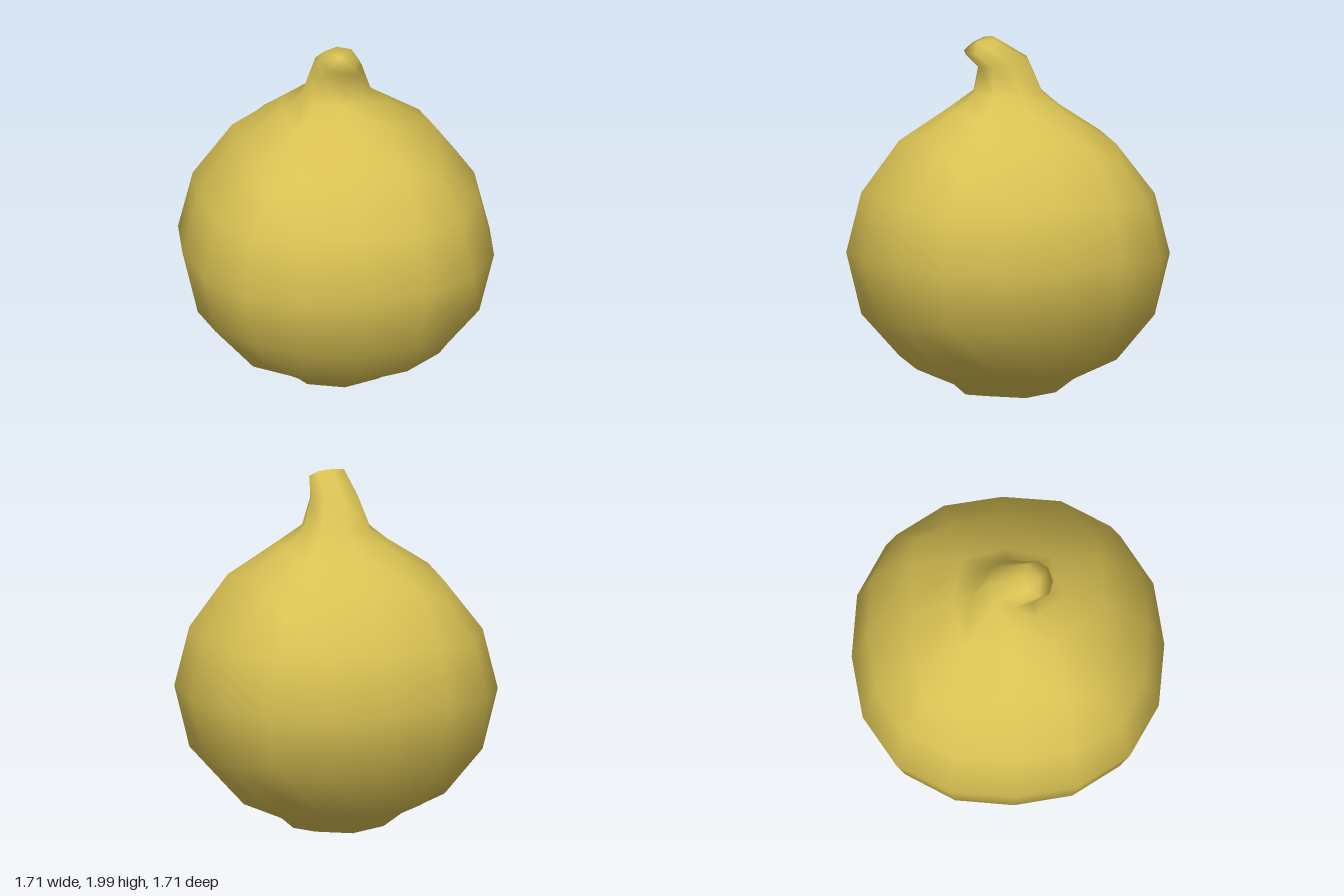
import * as THREE from 'three';
import { mergeVertices } from 'three/addons/utils/BufferGeometryUtils.js';

// Rounded-square ring of 16 points. Each quarter holds a side middle, a corner and two points between.
function squareRing([m, my], [e, f, ey], [c, cy]) {
  const quarter = [[m, 0, my], [e, f, ey], [c, c, cy], [f, e, ey]];
  const ring = [];
  for (let q = 0; q < 4; q++) {
    for (const [a, b, y] of quarter) {
      const [x, z] = [[a, b], [-b, a], [-a, -b], [b, -a]][q];
      ring.push(new THREE.Vector3(x, y, z));
    }
  }
  return ring;
}

// Eight-sided ring: the between points collapse onto the corners.
const octRing = (mid, corner) => squareRing(mid, [corner[0], corner[0], corner[1]], corner);

// Eight-sided stem ring, shifted and tilted forward.
function stemRing(cx, y, cz, rx, rz, tilt) {
  return octRing([1, 0], [0.73, 0]).map(
    (p) => new THREE.Vector3(cx + p.x * rx, y + p.z * rz * tilt, cz + p.z * rz));
}

// Skin a stack of rings, bottom to top, into one smooth surface.
function skin(rings) {
  const n = rings[0].length;
  const index = [];
  for (let r = 0; r < rings.length - 1; r++) {
    for (let i = 0; i < n; i++) {
      const j = (i + 1) % n;
      const a = r * n + i, b = r * n + j, c = a + n, d = b + n;
      index.push(a, c, d, a, d, b);
    }
  }
  let geometry = new THREE.BufferGeometry().setFromPoints(rings.flat());
  geometry.setIndex(index);
  geometry = mergeVertices(geometry, 1e-4);
  geometry.computeVertexNormals();
  return geometry;
}

export function createModel() {
  const rings = [
    // base foot
    octRing([0, 0.005], [0, 0.005]),
    octRing([0.25, 0.03], [0.2, 0.045]),
    octRing([0.32, 0.09], [0.275, 0.125]),
    // round body
    squareRing([0.54, 0.185], [0.52, 0.295, 0.22], [0.48, 0.295]),
    squareRing([0.77, 0.44], [0.735, 0.32, 0.46], [0.585, 0.49]),
    squareRing([0.855, 0.8], [0.81, 0.355, 0.8], [0.64, 0.8]),
    squareRing([0.77, 1.14], [0.735, 0.32, 1.13], [0.585, 1.11]),
    squareRing([0.54, 1.45], [0.52, 0.295, 1.41], [0.48, 1.31]),
    // shoulder
    octRing([0.3, 1.605], [0.25, 1.58]),
    // stem bending forward
    stemRing(0, 1.69, 0, 0.195, 0.197, 0),
    stemRing(0, 1.855, 0.03, 0.137, 0.14, -0.18),
    stemRing(-0.012, 1.952, 0.165, 0.105, 0.08, -0.59),
    stemRing(-0.012, 1.972, 0.177, 0, 0, 0),
  ];
  const fruit = new THREE.Mesh(
    skin(rings), new THREE.MeshStandardMaterial({ color: 0xd9c153 }));
  fruit.name = 'fruitWithStem';
  const group = new THREE.Group();
  group.name = 'fruit';
  group.add(fruit);
  return group;
}
